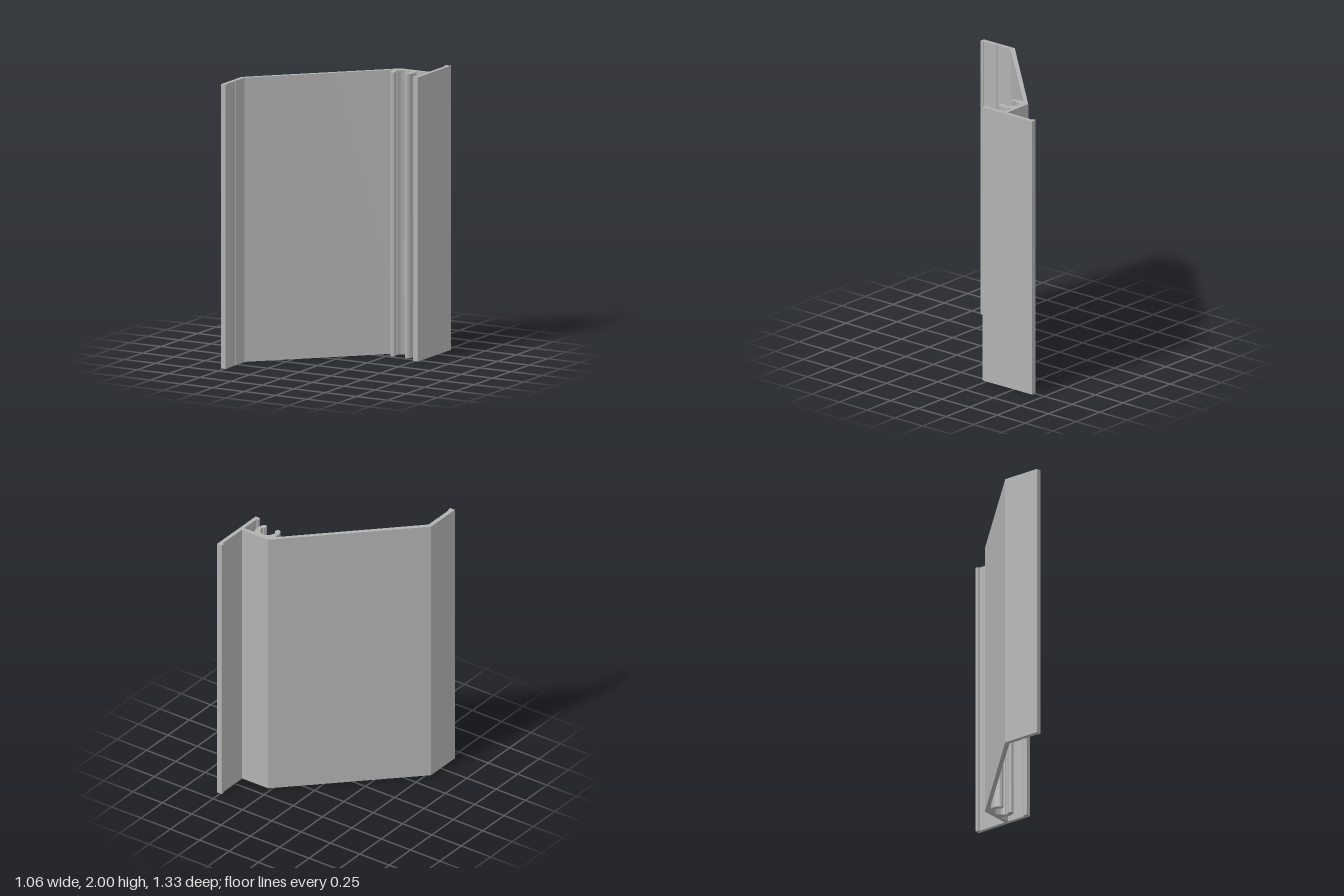
import * as THREE from 'three';
import { toCreasedNormals } from 'three/addons/utils/BufferGeometryUtils.js';

const rad = THREE.MathUtils.degToRad;

export function createModel() {
  const group = new THREE.Group();
  group.name = 'cornerProfile';
  const aluminium = new THREE.MeshStandardMaterial({ color: 0xb2b2b2 });
  aluminium.name = 'aluminium grey';

  // Cross-section drawn as x against -z, counter-clockwise
  const s = new THREE.Shape();
  const lines = (...pts) => pts.forEach(([x, y]) => s.lineTo(x, y));
  const cx = 0.345, cy = 0.325, outer = 0.087, inner = 0.051, mid = 0.069;
  const ring = (r, a, b, clockwise) => s.absarc(cx, cy, r, rad(a), rad(b), clockwise);
  const tip = (angle, a, b) => s.absarc(
    cx + mid * Math.cos(rad(angle)), cy + mid * Math.sin(rad(angle)), 0.018, rad(a), rad(b), false);

  // Right flange with its lip, web, sloping wall
  s.moveTo(0.525, 0.215);
  lines([0.528, 0.218], [0.528, 0.665], [0.492, 0.665], [0.488, 0.66], [0.488, 0.643], [0.492, 0.638],
    [0.5, 0.638], [0.5, 0.415], [0.275, 0.415], [-0.528, -0.387]);
  // Left flange with lip and small groove
  lines([-0.528, -0.665], [-0.49, -0.665], [-0.49, -0.638], [-0.497, -0.638], [-0.497, -0.528],
    [-0.505, -0.52], [-0.497, -0.512], [-0.497, -0.4]);
  // Inside of the slope and the rounded groove beside the screw channel
  lines([0.243, 0.344], [0.25, 0.35], [0.258, 0.35], [0.263, 0.345]);
  // Screw channel: open ring with rounded ends and shallow grooves
  ring(outer, 168, 214, false);
  tip(214, 214, 394);
  ring(inner, 214, 202, true);
  ring(0.056, 200, 172, true);
  ring(inner, 170, 110, true);
  lines([0.331, 0.377], [0.359, 0.377]);
  ring(inner, 70, 10, true);
  ring(0.056, 8, -20, true);
  ring(inner, -22, -34, true);
  tip(-34, 146, 326);
  ring(outer, -34, 34, false);
  // Underside of the web, lower lip
  lines([0.412, 0.381], [0.418, 0.387], [0.5, 0.387], [0.5, 0.245], [0.492, 0.245], [0.488, 0.24],
    [0.488, 0.219], [0.492, 0.215]);
  s.closePath();

  const geometry = new THREE.ExtrudeGeometry(s, { depth: 2, bevelEnabled: false, curveSegments: 14 });
  geometry.rotateX(-Math.PI / 2);
  const extrusion = new THREE.Mesh(toCreasedNormals(geometry, rad(35)), aluminium);
  extrusion.name = 'extrudedProfile';
  group.add(extrusion);
  return group;
}
